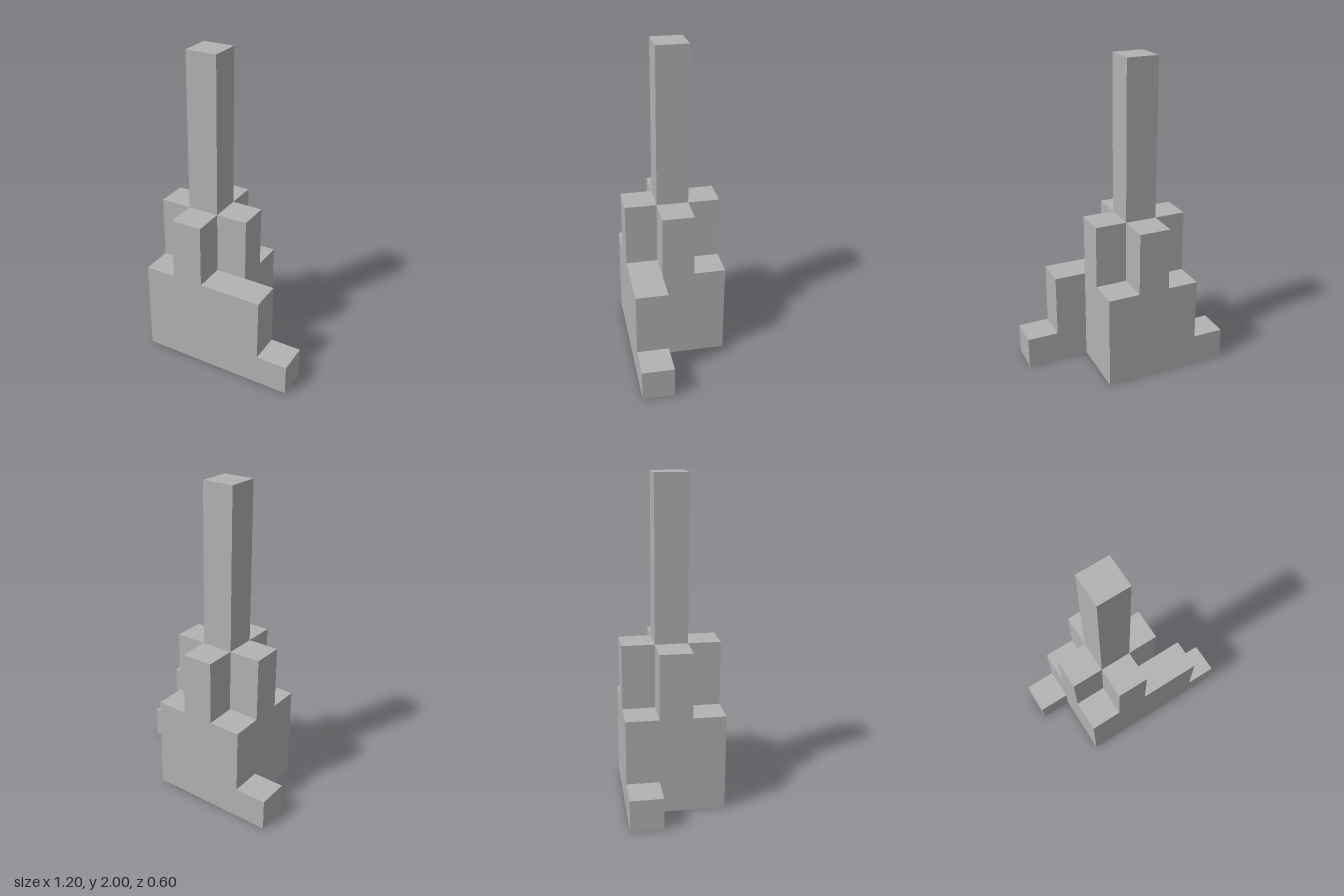
import * as THREE from 'three';

const S = 0.2; // side of one square column

// Column heights in units of S; rows run from back (-z) to front (+z), columns from -x to +x
const HEIGHTS = [
  [1, 3, 5, 3, 0, 0],
  [0, 5, 10, 5, 0, 0],
  [0, 3, 5, 3, 3, 1],
];
const heightAt = (r, c) => HEIGHTS[r]?.[c] ?? 0;

// Outward directions: [column step, row step, rotation about y]
const SIDES = [
  [0, 1, 0],
  [1, 0, Math.PI / 2],
  [0, -1, Math.PI],
  [-1, 0, -Math.PI / 2],
];

function partName(h) {
  return { 10: 'spire', 5: 'upperBlock', 3: 'lowerBlock', 1: 'foot' }[h];
}

export function createModel() {
  const model = new THREE.Group();
  model.name = 'steppedTower';
  const grey = new THREE.MeshStandardMaterial({ color: 0xb2b2b2, side: THREE.DoubleSide });
  grey.name = 'grey';

  HEIGHTS.forEach((row, r) => row.forEach((h, c) => {
    if (!h) return;
    const column = new THREE.Group();
    column.name = partName(h);
    column.position.set((c - 2.5) * S, 0, (r - 1) * S);

    // Roof of the column; the hollow shell stays open underneath
    const roof = new THREE.Mesh(new THREE.PlaneGeometry(S, S).rotateX(-Math.PI / 2), grey);
    roof.name = 'roof';
    roof.position.y = h * S;
    column.add(roof);

    // Walls only where the column rises above its neighbour
    for (const [dc, dr, turn] of SIDES) {
      const low = heightAt(r + dr, c + dc);
      if (low >= h) continue;
      const wall = new THREE.Mesh(new THREE.PlaneGeometry(S, (h - low) * S), grey);
      wall.name = 'wall';
      wall.position.set(dc * S / 2, (h + low) * S / 2, dr * S / 2);
      wall.rotation.y = turn;
      column.add(wall);
    }
    model.add(column);
  }));
  return model;
}
